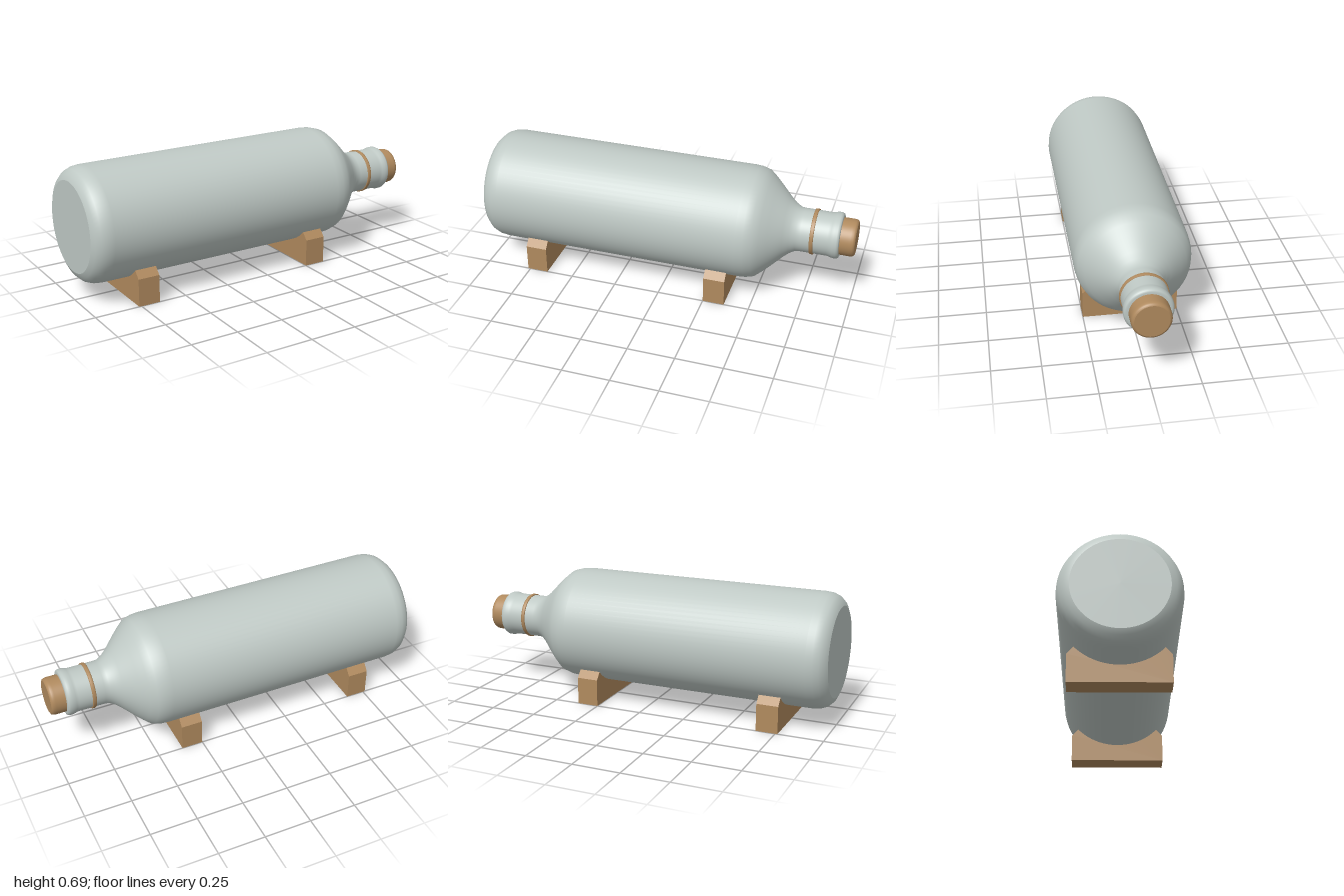
import * as THREE from 'three';

const AXIS_Y = 0.39;   // height of the bottle's centre line
const RADIUS = 0.3;

// Turned part lying along x; profile is [x, radius] pairs in rising x
function turned(name, profile, material) {
  const points = profile.map(([x, r]) => new THREE.Vector2(r, x));
  const geometry = new THREE.LatheGeometry(points, 72);
  geometry.rotateZ(-Math.PI / 2);
  const mesh = new THREE.Mesh(geometry, material);
  mesh.name = name;
  mesh.position.y = AXIS_Y;
  return mesh;
}

// Block with chamfered shoulders and a round cradle cut in its top
function cradle(name, x, material) {
  const width = 0.115, half = 0.25, lip = 0.217;
  const angle = Math.acos(lip / RADIUS);
  const shape = new THREE.Shape();
  shape.moveTo(-half, 0);
  shape.lineTo(half, 0);
  shape.lineTo(half, 0.145);
  shape.lineTo(lip, AXIS_Y - RADIUS * Math.sin(angle));
  shape.absarc(0, AXIS_Y, RADIUS, -angle, -Math.PI + angle, true);
  shape.lineTo(-half, 0.145);
  shape.closePath();
  const geometry = new THREE.ExtrudeGeometry(shape, { depth: width, bevelEnabled: false, curveSegments: 32 });
  geometry.translate(0, 0, -width / 2);
  geometry.rotateY(Math.PI / 2);
  const mesh = new THREE.Mesh(geometry, material);
  mesh.name = name;
  mesh.position.x = x;
  return mesh;
}

export function createModel() {
  const glass = new THREE.MeshStandardMaterial({ name: 'pale grey glass', color: 0xbfc9c5 });
  const wood = new THREE.MeshStandardMaterial({ name: 'light wood', color: 0xb08a5e });
  const group = new THREE.Group();
  group.name = 'bottleOnStand';

  // Bottle: rounded heel, straight body, shoulder, neck and lip
  group.add(turned('bottleBody', [
    [-1, 0.235], [-0.988, 0.262], [-0.965, 0.284], [-0.935, 0.296], [-0.9, 0.3],
    [0.42, 0.3], [0.46, 0.297], [0.5, 0.286], [0.535, 0.257], [0.57, 0.224],
    [0.636, 0.158], [0.665, 0.134], [0.695, 0.117], [0.72, 0.115], [0.86, 0.115],
    [0.875, 0.118], [0.89, 0.122], [0.908, 0.122], [0.918, 0.117], [0.922, 0.108], [0.922, 0.09],
  ], glass));

  // Flat base
  group.add(turned('bottleBase', [[-1, 0], [-1, 0.235]], glass));

  // Ring around the neck
  group.add(turned('neckRing', [
    [0.77, 0.112], [0.77, 0.119], [0.774, 0.121], [0.786, 0.121], [0.79, 0.119], [0.79, 0.112],
  ], wood));

  // Stopper with a softened end
  group.add(turned('cork', [
    [0.9, 0.098], [0.975, 0.0985], [0.988, 0.097], [0.996, 0.093], [1, 0.085],
  ], wood));
  group.add(turned('corkEnd', [[1, 0.085], [1, 0]], wood));

  // Two matching cradles
  group.add(cradle('rearCradle', -0.705, wood));
  group.add(cradle('neckCradle', 0.308, wood));
  return group;
}
